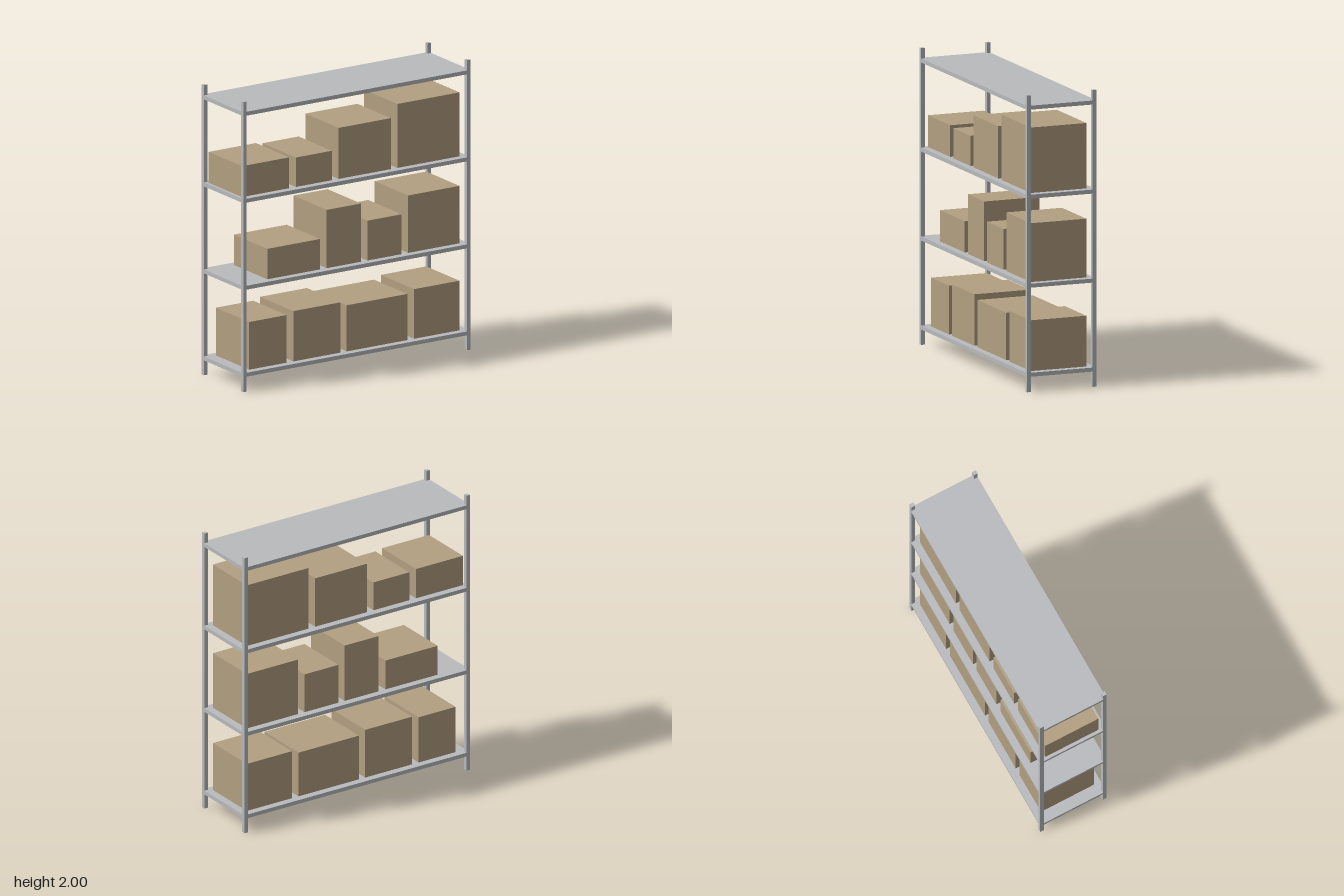
import * as THREE from 'three';

const W = 0.9, D = 0.25;          // half width and half depth of the rack
const POST = 0.027, SHELF = 0.027; // post width, shelf thickness
const LEVELS = [0.13, 0.73, 1.33, 1.93]; // shelf top heights

// Cartons per shelf: [left x, right x, top y]
const CARTONS = [
  [[-0.82, -0.524, 0.459], [-0.471, -0.098, 0.477], [-0.048, 0.434, 0.448], [0.487, 0.847, 0.472]],
  [[-0.677, -0.259, 0.94], [-0.206, 0.066, 1.132], [0.116, 0.387, 1.005], [0.439, 0.847, 1.126]],
  [[-0.878, -0.503, 1.543], [-0.45, -0.164, 1.533], [-0.111, 0.302, 1.682], [0.354, 0.847, 1.771]],
];

// Rectangular board with its four corners notched to fit around the posts
function shelfGeometry() {
  const x = W - POST, z = D - POST;
  const outline = [[-x, -D], [x, -D], [x, -z], [W, -z], [W, z], [x, z],
    [x, D], [-x, D], [-x, z], [-W, z], [-W, -z], [-x, -z]];
  const shape = new THREE.Shape(outline.map(([a, b]) => new THREE.Vector2(a, b)));
  const geo = new THREE.ExtrudeGeometry(shape, { depth: SHELF, bevelEnabled: false });
  return geo.rotateX(-Math.PI / 2);
}

export function createModel() {
  const steel = new THREE.MeshStandardMaterial({ name: 'steelGrey', color: 0xb8babd });
  const cardboard = new THREE.MeshStandardMaterial({ name: 'cardboard', color: 0xb29f80 });
  const model = new THREE.Group();
  model.name = 'storageRack';

  const add = (parent, name, geo, mat, x, y, z) => {
    const mesh = new THREE.Mesh(geo, mat);
    mesh.name = name;
    mesh.position.set(x, y, z);
    parent.add(mesh);
  };

  // Four corner posts
  const postGeo = new THREE.BoxGeometry(POST, 2, POST);
  for (const sx of [-1, 1]) {
    for (const sz of [-1, 1]) {
      const name = (sz > 0 ? 'front' : 'back') + (sx > 0 ? 'Left' : 'Right') + 'Post';
      add(model, name, postGeo, steel, sx * (W - POST / 2), 1, sz * (D - POST / 2));
    }
  }

  // Shelves
  const shelfGeo = shelfGeometry();
  LEVELS.forEach((y, i) => add(model, `shelf${i + 1}`, shelfGeo, steel, 0, y - SHELF, 0));

  // Cartons standing on the lower three shelves
  CARTONS.forEach((row, i) => {
    const group = new THREE.Group();
    group.name = `cartonsOnShelf${i + 1}`;
    row.forEach(([x0, x1, top], j) => {
      const h = top - LEVELS[i];
      add(group, `carton${j + 1}`, new THREE.BoxGeometry(x1 - x0, h, 0.4), cardboard,
        (x0 + x1) / 2, LEVELS[i] + h / 2, 0);
    });
    model.add(group);
  });

  return model;
}
